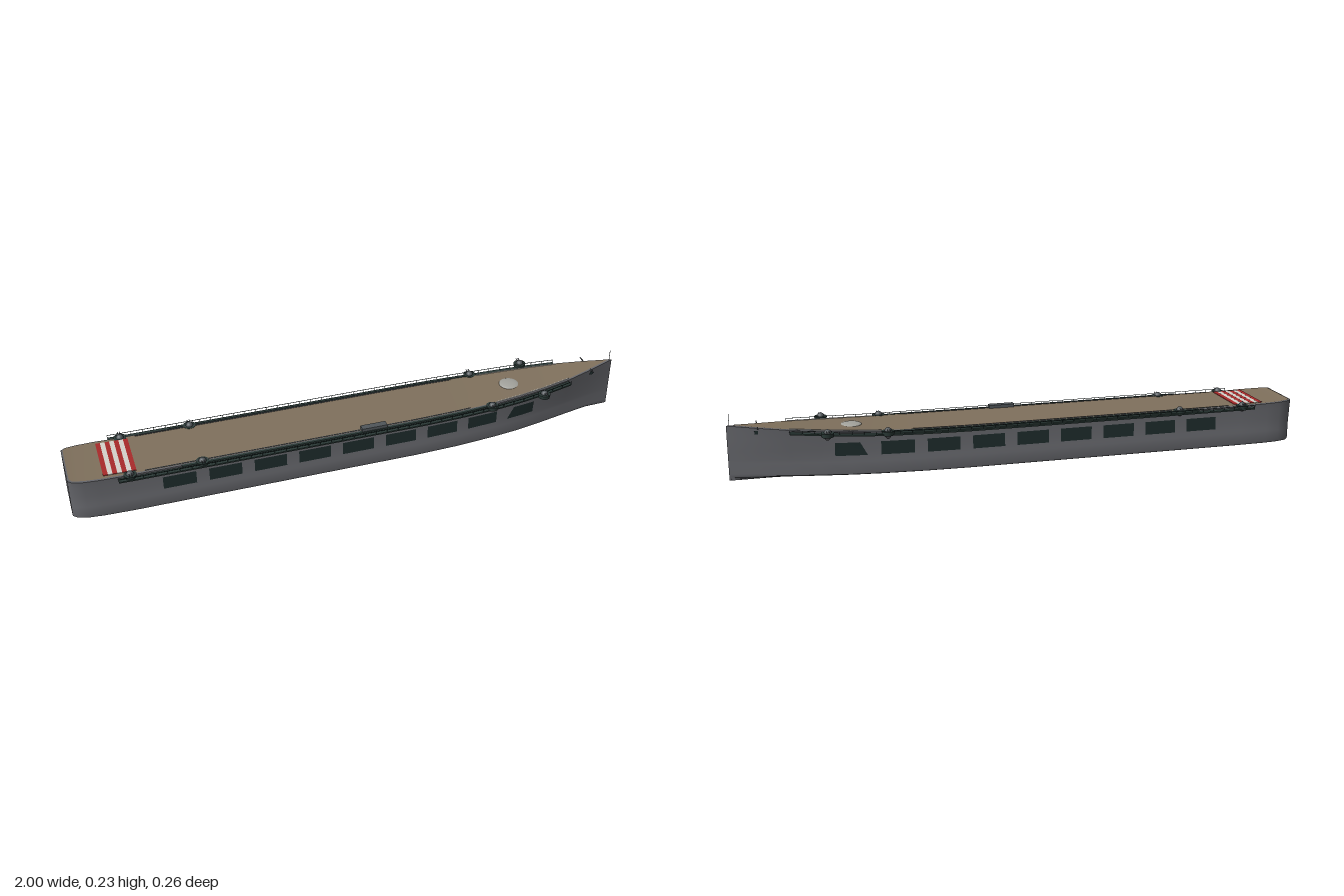
import * as THREE from 'three';
import { toCreasedNormals } from 'three/addons/utils/BufferGeometryUtils.js';

// Hull stations, stern to bow: x, half width at bilge, half width at deck, deck height
const STATIONS = [
  [-1, 0.08, 0.088, 0.165], [-0.985, 0.094, 0.1, 0.164], [-0.95, 0.105, 0.107, 0.162],
  [-0.9, 0.11, 0.11, 0.161], [-0.8, 0.113, 0.11, 0.159], [-0.3, 0.113, 0.11, 0.158],
  [0.2, 0.113, 0.11, 0.158], [0.35, 0.108, 0.107, 0.159], [0.5, 0.096, 0.099, 0.161],
  [0.6, 0.083, 0.09, 0.165], [0.7, 0.064, 0.077, 0.17], [0.8, 0.042, 0.059, 0.176],
  [0.9, 0.019, 0.032, 0.183], [1, 0.0005, 0.001, 0.19],
];
const lerp = THREE.MathUtils.lerp;

function station(x) {
  let i = 0;
  while (i < STATIONS.length - 2 && STATIONS[i + 1][0] < x) i++;
  const a = STATIONS[i], b = STATIONS[i + 1], t = (x - a[0]) / (b[0] - a[0]);
  const [bilge, deck, top] = [1, 2, 3].map((k) => lerp(a[k], b[k], t));
  return { bilge, deck, top };
}

// Half width of the hull side at a given height above the bilge
function side(x, y) {
  const s = station(x);
  const t = THREE.MathUtils.clamp((y - 0.06) / (s.top - 0.06), 0, 1);
  return lerp(s.bilge, s.deck, t) * (t > 0 && t < 1 ? 0.985 : 1);
}

// Keel-to-deck profile on one side
function profile(x) {
  const s = station(x);
  const pts = [[0, 0], [0.5 * s.bilge, 0.005], [0.88 * s.bilge, 0.01], [0.98 * s.bilge, 0.014], [s.bilge, 0.022], [s.bilge, 0.058]];
  for (const y of [0.07, 0.1, 0.14]) pts.push([side(x, y), y]);
  pts.push([s.deck, s.top]);
  return pts;
}

function meshData(pos, idx) {
  const g = new THREE.BufferGeometry();
  g.setAttribute('position', new THREE.Float32BufferAttribute(pos, 3));
  g.setIndex(idx);
  return toCreasedNormals(g, 0.6);
}

function hullGeometry() {
  const pos = [], idx = [];
  let n = 0;
  for (const [x] of STATIONS) {
    const half = profile(x);
    const loop = [...half.slice(1).reverse().map(([z, y]) => [-z, y]), ...half];
    n = loop.length;
    for (const [z, y] of loop) pos.push(x, y, z);
  }
  for (let i = 0; i < STATIONS.length - 1; i++) {
    for (let j = 0; j < n - 1; j++) {
      const a = i * n + j, b = a + n;
      idx.push(a, b, a + 1, b, b + 1, a + 1);
    }
    const l = i * n, r = l + n - 1; // top closure
    idx.push(l, r, l + n, r, r + n, l + n);
  }
  const c = pos.length / 3; // flat transom
  pos.push(-1, 0.09, 0);
  for (let j = 0; j < n; j++) idx.push(c, j, (j + 1) % n);
  return meshData(pos, idx);
}

function deckGeometry() {
  const pos = [], idx = [];
  STATIONS.forEach(([x, , w, y], i) => {
    const z = Math.max(w - 0.006, 0);
    const px = i === 0 ? x + 0.006 : i === STATIONS.length - 1 ? x - 0.015 : x;
    pos.push(px, y + 0.002, -z, px, y + 0.002, z);
    const a = 2 * i;
    if (i < STATIONS.length - 1) idx.push(a, a + 1, a + 2, a + 1, a + 3, a + 2);
  });
  return meshData(pos, idx);
}

export function createModel() {
  const root = new THREE.Group();
  const mat = (name, color, extra = {}) => {
    const m = new THREE.MeshStandardMaterial({ color, ...extra });
    m.name = name;
    return m;
  };
  const hullGrey = mat('hull grey', 0x67686d);
  const deckTan = mat('deck tan', 0x80715d);
  const darkGreen = mat('dark green', 0x1d2b2b, { side: THREE.DoubleSide });
  const galleryGreen = mat('gallery green', 0x2b3a37);
  const gunGrey = mat('gun grey', 0x50565a);
  const red = mat('stripe red', 0xa92a2a);
  const white = mat('marking white', 0xd6d3cc);
  const paleGrey = mat('pale grey', 0xa3a39d);

  const add = (name, geo, material, x = 0, y = 0, z = 0, parent = root) => {
    const m = new THREE.Mesh(geo, material);
    m.name = name;
    m.position.set(x, y, z);
    parent.add(m);
    return m;
  };

  // Strip that follows the deck edge, between two sideways offsets and two heights
  const edgeStrip = (name, material, s, x0, x1, in0, out0, y0, y1) => {
    const g = new THREE.BoxGeometry(1, 1, 1, 32, 1, 1);
    const p = g.attributes.position;
    for (let i = 0; i < p.count; i++) {
      const x = lerp(x0, x1, p.getX(i) + 0.5), st = station(x);
      const z = s * (st.deck + lerp(in0, out0, p.getZ(i) * s + 0.5));
      p.setXYZ(i, x, st.top + lerp(y0, y1, p.getY(i) + 0.5), z);
    }
    g.computeVertexNormals();
    return add(name, g, material);
  };

  add('hull', hullGeometry(), hullGrey);
  add('flightDeck', deckGeometry(), deckTan);

  // Red and white stripes across the stern deck
  for (let i = 0; i < 7; i++) {
    const x = -0.877 + i * 0.0155;
    add('deckStripe', new THREE.BoxGeometry(0.0155, 0.003, 0.184), i % 2 ? white : red, x, station(x).top + 0.0025, 0);
  }

  // Hangar openings: plates bent to the hull side, the last one raked
  const opening = (s, x0, x1, rake) => {
    const g = new THREE.PlaneGeometry(1, 1, 4, 3);
    const p = g.attributes.position;
    for (let i = 0; i < p.count; i++) {
      const u = p.getX(i) + 0.5, v = p.getY(i) + 0.5;
      const x = lerp(x0 + rake * v, x1, u), y = lerp(0.081, 0.127, v);
      p.setXYZ(i, x, y, s * (side(x, y) + 0.003));
    }
    g.computeVertexNormals();
    add('hangarOpening', g, darkGreen);
  };

  // Anti-aircraft mount: tub, bracket, shield and twin barrels
  const gunMount = (x, s) => {
    const gun = new THREE.Group();
    gun.name = 'gunMount';
    gun.position.set(x, station(x).top, s * 0.107);
    root.add(gun);
    add('tub', new THREE.CylinderGeometry(0.022, 0.02, 0.014, 16), galleryGreen, 0, -0.004, 0, gun);
    add('bracket', new THREE.CylinderGeometry(0.018, 0.005, 0.016, 12), hullGrey, 0, -0.016, -s * 0.006, gun);
    add('shield', new THREE.SphereGeometry(0.013, 14, 6, 0, Math.PI * 2, 0, Math.PI / 2), gunGrey, 0, 0.002, 0, gun);
    for (const d of [-0.004, 0.004]) {
      const b = add('barrel', new THREE.CylinderGeometry(0.0015, 0.0015, 0.022, 6), gunGrey, d, 0.009, s * 0.012, gun);
      b.rotation.x = Math.PI / 2;
    }
  };

  for (const s of [1, -1]) {
    for (let i = 0; i < 8; i++) opening(s, -0.697 + i * 0.1555, -0.585 + i * 0.1555, 0);
    opening(s, 0.548, 0.655, 0.025);

    // Side galleries with railing
    edgeStrip('gallery', galleryGreen, s, -0.84, 0.8, -0.004, 0.02, -0.011, -0.006);
    edgeStrip('galleryCoaming', galleryGreen, s, -0.63, 0.5, -0.002, 0.008, -0.007, 0.002);
    edgeStrip('handrail', darkGreen, s, -0.84, 0.8, 0.0185, 0.02, 0.003, 0.0045);
    for (let i = 0; i <= 41; i++) {
      const x = -0.84 + i * 0.04, st = station(x);
      add('railPost', new THREE.BoxGeometry(0.0014, 0.013, 0.0014), darkGreen, x, st.top - 0.002, s * (st.deck + 0.019));
    }

    // Deck edge lines at the bow and amidships
    edgeStrip('bowLine', white, s, 0.5, 0.8, -0.009, -0.006, 0.0015, 0.004);
    edgeStrip('deckEdgeGutter', gunGrey, s, -0.75, 0.4, -0.011, -0.008, 0.0015, 0.0035);

    for (const x of [-0.8, -0.56, 0.48, 0.68]) gunMount(x, s);

    // Bow boom and anchor
    add('bowBoom', new THREE.BoxGeometry(0.003, 0.003, 0.026), gunGrey, 0.9, 0.185, s * 0.041);
    add('anchor', new THREE.BoxGeometry(0.012, 0.012, 0.006), darkGreen, 0.905, 0.168, s * 0.028);
  }

  // Deck fittings
  add('deckHouse', new THREE.BoxGeometry(0.09, 0.018, 0.024), gunGrey, 0.04, 0.162, 0.103);
  const dome = add('deckDome', new THREE.SphereGeometry(0.036, 28, 8, 0, Math.PI * 2, 0, Math.PI / 2), paleGrey, 0.59, 0.1655, 0);
  dome.scale.y = 0.2;
  add('bowStaff', new THREE.CylinderGeometry(0.001, 0.001, 0.042, 6), gunGrey, 0.99, 0.209, 0);

  return root;
}
